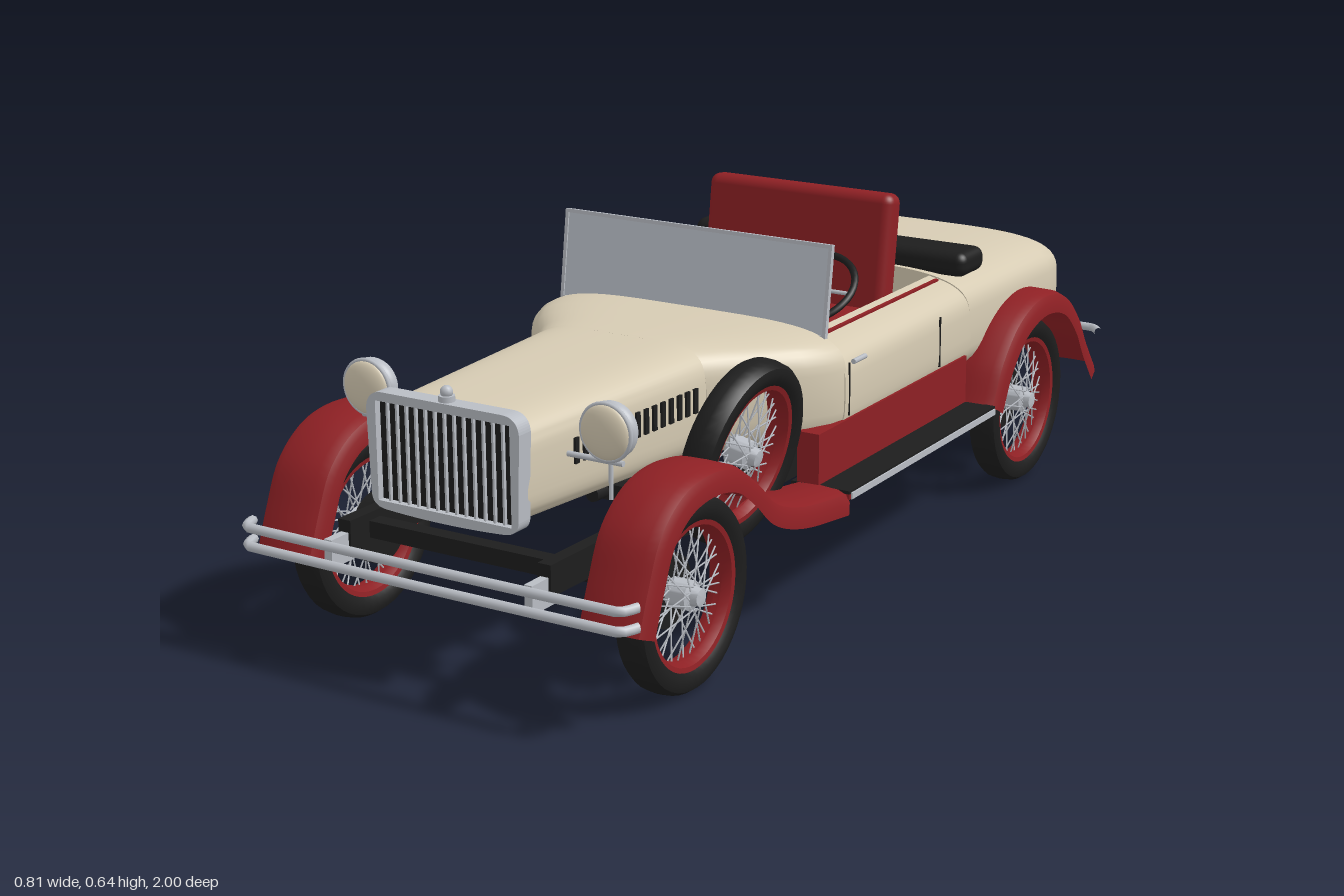
import * as THREE from 'three';
import { mergeGeometries, toCreasedNormals } from 'three/addons/utils/BufferGeometryUtils.js';
import { RoundedBoxGeometry } from 'three/addons/geometries/RoundedBoxGeometry.js';

const V = (x, y, z) => new THREE.Vector3(x, y, z);
const material = (name, color, side = THREE.FrontSide) => {
  const m = new THREE.MeshStandardMaterial({ color, side });
  m.name = name;
  return m;
};

// Cylinder between two points
function rod(a, b, r, sides = 10) {
  const d = b.clone().sub(a), g = new THREE.CylinderGeometry(r, r, d.length(), sides);
  g.applyQuaternion(new THREE.Quaternion().setFromUnitVectors(V(0, 1, 0), d.normalize()));
  const m = a.clone().add(b).multiplyScalar(0.5);
  return g.translate(m.x, m.y, m.z);
}

// Skin over rows of points; closed rows get end caps
function skin(rows, closed) {
  const n = rows[0].length, pos = rows.flat().flatMap(p => [p.x, p.y, p.z]), idx = [];
  for (let i = 0; i < rows.length - 1; i++)
    for (let j = 0; j < (closed ? n : n - 1); j++) {
      const k = (j + 1) % n, a = i * n + j, b = i * n + k, c = b + n, d = a + n;
      idx.push(a, b, c, a, c, d);
    }
  if (closed) [rows[0], rows[rows.length - 1]].forEach((row, e) => {
    const c = row.reduce((s, p) => s.add(p), V(0, 0, 0)).divideScalar(n), ci = pos.length / 3;
    const base = e ? (rows.length - 1) * n : 0;
    pos.push(c.x, c.y, c.z);
    for (let j = 0; j < n; j++) {
      const a = base + j, b = base + (j + 1) % n;
      idx.push(ci, e ? a : b, e ? b : a);
    }
  });
  const g = new THREE.BufferGeometry();
  g.setAttribute('position', new THREE.Float32BufferAttribute(pos, 3));
  g.setIndex(idx);
  g.computeVertexNormals();
  return toCreasedNormals(g, 0.7);
}

// Rounded body cross-section point at angle t
function sectionPoint(t, [z, hw, top, bot], e = 0.5) {
  const c = Math.cos(t), s = Math.sin(t);
  return V(hw * Math.sign(c) * Math.abs(c) ** e, (top + bot) / 2 + (top - bot) / 2 * Math.sign(s) * Math.abs(s) ** e, z);
}
const bodyLoft = (sections, e) => skin(sections.map(s =>
  Array.from({ length: 56 }, (_, i) => sectionPoint(i / 56 * Math.PI * 2, s, e))), true);

// Mudguard swept along a side path of [z, y]
function fenderGeometry(path) {
  const curve = new THREE.CatmullRomCurve3(path.map(([z, y]) => V(0, y, z)));
  const profile = [[0.27, 0.045], [0.271, 0.022], [0.278, 0.008], [0.295, 0.001], [0.335, 0], [0.375, 0.001], [0.392, 0.008], [0.399, 0.022], [0.4, 0.045]];
  const rows = [];
  for (let i = 0; i <= 48; i++) {
    const p = curve.getPoint(i / 48), t = curve.getTangent(i / 48);
    rows.push(profile.map(([x, d]) => V(x, p.y + t.z * d, p.z - t.y * d)));
  }
  return skin(rows, false);
}

export function createModel() {
  const car = new THREE.Group();
  car.name = 'openTouringCar';
  const cream = material('creamPaint', 0xd6cbb3), red = material('redPaint', 0x8e2024, THREE.DoubleSide);
  const black = material('blackRubberAndIron', 0x1d1d1d), silver = material('brightMetal', 0xb9bdc4);
  const glass = material('windscreenGlass', 0xbfc6ce, THREE.DoubleSide);

  const add = (name, geo, mat, parent = car) => {
    const m = new THREE.Mesh(geo, mat);
    m.name = name;
    parent.add(m);
    return m;
  };
  const box = (name, w, h, d, x, y, z, mat, parent) => add(name, new THREE.BoxGeometry(w, h, d).translate(x, y, z), mat, parent);
  const tube = (name, pts, r, mat) => add(name, new THREE.TubeGeometry(new THREE.CatmullRomCurve3(pts, false, 'catmullrom', 0.1), 60, r, 8), mat);

  // Bonnet, cowl and tail
  add('bonnet', bodyLoft([[0.4, 0.186, 0.492, 0.28], [0.905, 0.152, 0.488, 0.3]], 0.45), cream);
  add('cowl', bodyLoft([[0.165, 0.333, 0.487, 0.262], [0.2, 0.327, 0.488, 0.264], [0.25, 0.304, 0.489, 0.267], [0.3, 0.268, 0.49, 0.271],
    [0.36, 0.218, 0.491, 0.276], [0.41, 0.186, 0.492, 0.28]], 0.48), cream);
  add('tail', bodyLoft([[-0.927, 0.19, 0.4, 0.345], [-0.915, 0.215, 0.416, 0.315], [-0.86, 0.27, 0.442, 0.285], [-0.79, 0.318, 0.462, 0.27],
    [-0.72, 0.333, 0.471, 0.264], [-0.6, 0.335, 0.477, 0.26], [-0.34, 0.334, 0.478, 0.26]]), cream);
  tube('bootSeam', [V(-0.17, 0.443, -0.845), V(0, 0.437, -0.875), V(0.17, 0.443, -0.845)], 0.003, black);

  // Passenger tub: U-shaped section with floor and side walls
  const tub = new THREE.Shape();
  const start = 1.02, sweep = Math.PI + 2 * start;
  for (let i = 0; i <= 50; i++) {
    const p = sectionPoint(start - i / 50 * sweep, [0, 0.334, 0.475, 0.26]);
    i ? tub.lineTo(p.x, p.y) : tub.moveTo(p.x, p.y);
  }
  [[-0.268, 0.462], [-0.268, 0.3], [0.268, 0.3], [0.268, 0.462]].forEach(p => tub.lineTo(...p));
  tub.closePath();
  const tubGeo = new THREE.ExtrudeGeometry(tub, { depth: 0.515, bevelEnabled: false }).translate(0, 0, -0.345);
  add('passengerTub', toCreasedNormals(tubGeo, 0.5), cream);

  // Cabin
  box('dashboard', 0.53, 0.15, 0.016, 0, 0.393, 0.153, red);
  for (const x of [-0.18, -0.09, 0, 0.09]) {
    const g = new THREE.CylinderGeometry(0.021, 0.021, 0.008, 20).rotateX(Math.PI / 2).translate(x, 0.425, 0.143);
    add('gauge', g, silver);
  }
  add('seatCushion', new RoundedBoxGeometry(0.42, 0.12, 0.26, 4, 0.025).translate(0, 0.36, -0.15), red);
  add('seatBack', new RoundedBoxGeometry(0.415, 0.3, 0.055, 4, 0.02).rotateX(-0.14).translate(0, 0.493, -0.245), red);
  add('foldedHood', new RoundedBoxGeometry(0.625, 0.05, 0.1, 4, 0.02).translate(0, 0.49, -0.4), black);

  // Steering wheel
  const steering = new THREE.Group();
  steering.name = 'steeringWheel';
  steering.position.set(0.16, 0.507, 0);
  steering.rotation.x = -1.0;
  car.add(steering);
  add('steeringRim', new THREE.TorusGeometry(0.09, 0.007, 8, 40), black, steering);
  add('steeringHub', new THREE.SphereGeometry(0.014, 12, 8), silver, steering);
  for (let i = 0; i < 4; i++) {
    const a = i * Math.PI / 2;
    add('steeringSpoke', rod(V(0, 0, 0), V(0.088 * Math.cos(a), 0.088 * Math.sin(a), 0), 0.004, 6), silver, steering);
  }
  add('steeringColumn', rod(V(0.16, 0.505, 0), V(0.16, 0.4, 0.15), 0.008), black);

  // Windscreen
  const screen = new THREE.Group();
  screen.name = 'windscreen';
  screen.position.set(0, 0.464, 0.166);
  screen.rotation.x = -0.14;
  car.add(screen);
  box('windscreenPane', 0.57, 0.165, 0.004, 0, 0.086, 0, glass, screen);
  for (const y of [0.003, 0.17]) box('windscreenRail', 0.58, 0.007, 0.01, 0, y, 0, silver, screen);
  for (const x of [-0.287, 0.287]) box('windscreenPost', 0.007, 0.174, 0.01, x, 0.086, 0, silver, screen);

  // Radiator
  const surround = new THREE.Shape();
  surround.moveTo(-0.15, 0.32).quadraticCurveTo(-0.148, 0.298, -0.12, 0.296).quadraticCurveTo(0, 0.288, 0.12, 0.296)
    .quadraticCurveTo(0.148, 0.298, 0.15, 0.32).lineTo(0.155, 0.47).quadraticCurveTo(0.152, 0.5, 0.12, 0.5).lineTo(-0.12, 0.5)
    .quadraticCurveTo(-0.152, 0.5, -0.155, 0.47).closePath();
  surround.holes.push(new THREE.Path([[-0.136, 0.31], [-0.136, 0.484], [0.136, 0.484], [0.136, 0.31]].map(p => new THREE.Vector2(...p))));
  add('radiatorSurround', new THREE.ExtrudeGeometry(surround, { depth: 0.033, bevelEnabled: false }).translate(0, 0, 0.898), silver);
  box('radiatorCore', 0.276, 0.178, 0.016, 0, 0.397, 0.91, black);
  for (let i = 0; i < 13; i++) box('radiatorBar', 0.004, 0.176, 0.006, (i - 6) * 0.0195, 0.397, 0.922, silver);
  add('radiatorCap', new THREE.CylinderGeometry(0.014, 0.014, 0.012, 16).translate(0, 0.504, 0.914), silver);
  add('radiatorMascot', new THREE.SphereGeometry(0.011, 12, 8).translate(0, 0.516, 0.914), silver);

  // Wire wheel, outer face towards +x
  const spokeList = [];
  for (let i = 0; i < 40; i++) {
    const a = i / 40 * Math.PI * 2, h = a + (i % 4 < 2 ? 0.7 : -0.7);
    spokeList.push(rod(V(i % 2 ? 0.026 : -0.012, 0.022 * Math.cos(h), 0.022 * Math.sin(h)), V(0, 0.118 * Math.cos(a), 0.118 * Math.sin(a)), 0.0016, 5));
  }
  const spokes = mergeGeometries(spokeList);
  const lathe = pts => toCreasedNormals(new THREE.LatheGeometry(pts.map(p => new THREE.Vector2(...p)), 48).rotateZ(-Math.PI / 2), 0.6);
  const tyre = lathe([[0.127, -0.022], [0.138, -0.029], [0.152, -0.031], [0.162, -0.027], [0.168, -0.018], [0.17, 0],
    [0.168, 0.018], [0.162, 0.027], [0.152, 0.031], [0.138, 0.029], [0.127, 0.022]]);
  const rim = lathe([[0.114, 0.006], [0.114, -0.006], [0.121, -0.022], [0.131, -0.024], [0.131, 0.024], [0.121, 0.022], [0.114, 0.006]]);
  const hub = lathe([[0, -0.02], [0.026, -0.02], [0.026, 0.018], [0.017, 0.022], [0.015, 0.036], [0, 0.039]]);
  const drum = lathe([[0, -0.045], [0.065, -0.045], [0.065, -0.024], [0, -0.024]]);
  const wheel = (name, x, y, z, braked) => {
    const w = new THREE.Group();
    w.name = name;
    w.position.set(x, y, z);
    if (x < 0) w.rotation.y = Math.PI;
    add('tyre', tyre, black, w);
    add('rim', rim, red, w);
    add('spokes', spokes, silver, w);
    add('hub', hub, silver, w);
    if (braked) add('brakeDrum', drum, black, w);
    car.add(w);
    return w;
  };
  wheel('spareWheel', 0.29, 0.335, 0.465, false).rotation.z = -0.19;

  const frontFender = fenderGeometry([[0.957, 0.18], [0.93, 0.25], [0.89, 0.33], [0.82, 0.382], [0.73, 0.397], [0.64, 0.378], [0.57, 0.33], [0.515, 0.282], [0.43, 0.25], [0.265, 0.224]]);
  const rearFender = fenderGeometry([[-0.325, 0.222], [-0.37, 0.3], [-0.45, 0.37], [-0.563, 0.4], [-0.675, 0.375], [-0.75, 0.31], [-0.79, 0.25], [-0.84, 0.185]]);
  const railShape = new THREE.Shape([[0.94, 0.21], [0.94, 0.265], [0.72, 0.262], [0.5, 0.24], [-0.35, 0.24], [-0.56, 0.275], [-0.9, 0.272],
    [-0.9, 0.217], [-0.56, 0.217], [-0.35, 0.185], [0.5, 0.185], [0.72, 0.205]].map(([z, y]) => new THREE.Vector2(-z, y)));
  const rail = new THREE.ExtrudeGeometry(railShape, { depth: 0.026, bevelEnabled: false }).rotateY(Math.PI / 2);

  // Paired parts
  for (const s of [-1, 1]) {
    wheel('frontWheel', s * 0.336, 0.17, 0.73, true);
    wheel('rearWheel', s * 0.336, 0.17, -0.563, true);
    add('frontFender', frontFender, red).scale.x = s;
    add('rearFender', rearFender, red).scale.x = s;
    add('chassisRail', rail.clone().translate(s * 0.205 - 0.013, 0, 0), black);
    box('sideValance', 0.045, 0.097, 0.595, s * 0.313, 0.271, -0.028, red);
    box('runningBoard', 0.12, 0.01, 0.6, s * 0.339, 0.213, -0.03, red);
    box('runningBoardMat', 0.12, 0.006, 0.6, s * 0.339, 0.221, -0.03, black);
    box('runningBoardTrim', 0.004, 0.012, 0.59, s * 0.4, 0.214, -0.03, silver);
    box('cabinTrim', 0.008, 0.165, 0.46, s * 0.264, 0.383, -0.1, red);
    for (const z of [0.155, -0.21]) box('doorGap', 0.003, 0.1, 0.003, s * 0.3335, 0.375, z, black);
    add('doorHandle', rod(V(s * 0.336, 0.425, 0.1), V(s * 0.336, 0.425, 0.145), 0.005, 8), silver);
    add('tailLamp', new THREE.SphereGeometry(0.014, 16, 10).translate(s * 0.345, 0.335, -0.74), silver);
    for (let i = 0; i < 15; i++) {
      const z = 0.78 - i * 0.024;
      box('bonnetLouvre', 0.008, 0.045, 0.011, s * (0.152 + (0.905 - z) * 0.0673), 0.405, z, black);
    }

    // Headlamp
    add('headlampShell', new THREE.SphereGeometry(0.049, 28, 18).scale(1, 1, 0.6).translate(s * 0.245, 0.46, 0.8), silver);
    add('headlampLens', new THREE.SphereGeometry(0.047, 28, 14).scale(1, 1, 0.3).translate(s * 0.245, 0.46, 0.818), cream);
    add('headlampRim', new THREE.TorusGeometry(0.048, 0.004, 8, 36).translate(s * 0.245, 0.46, 0.816), silver);
    add('headlampBar', rod(V(s * 0.15, 0.405, 0.8), V(s * 0.268, 0.405, 0.8), 0.005), silver);
    add('headlampPost', rod(V(s * 0.243, 0.34, 0.8), V(s * 0.243, 0.42, 0.8), 0.004), silver);

    box('frontBumperBracket', 0.016, 0.05, 0.06, s * 0.205, 0.218, 0.955, silver);
    box('rearBumperBracket', 0.014, 0.014, 0.045, s * 0.205, 0.217, -0.965, silver);
  }

  // Bumpers
  for (const y of [0.2, 0.234])
    tube('frontBumperBar', [V(-0.395, y, 0.955), V(-0.375, y, 0.988), V(0, y, 0.991), V(0.375, y, 0.988), V(0.395, y, 0.955)], 0.009, silver);
  tube('rearBumperBar', [V(-0.345, 0.217, -0.962), V(-0.315, 0.217, -0.99), V(0, 0.217, -0.991), V(0.315, 0.217, -0.99), V(0.345, 0.217, -0.962)], 0.009, silver);

  // Running gear
  add('frontAxle', rod(V(-0.32, 0.168, 0.73), V(0.32, 0.168, 0.73), 0.014), black);
  add('rearAxle', rod(V(-0.32, 0.168, -0.563), V(0.32, 0.168, -0.563), 0.017), black);
  add('differential', new THREE.SphereGeometry(0.053, 24, 16).translate(0, 0.165, -0.563), black);
  add('driveShaft', rod(V(0, 0.17, -0.563), V(0, 0.215, 0.5), 0.014), black);
  for (const z of [0.875, 0.45, 0.05, -0.3, -0.87]) box('crossMember', 0.4, 0.03, 0.03, 0, Math.abs(z) > 0.6 ? 0.235 : 0.212, z, black);
  tube('exhaust', [V(-0.12, 0.185, 0.57), V(-0.145, 0.146, 0.12), V(-0.15, 0.145, -0.3), V(-0.155, 0.145, -0.94)], 0.011, black);
  return car;
}
